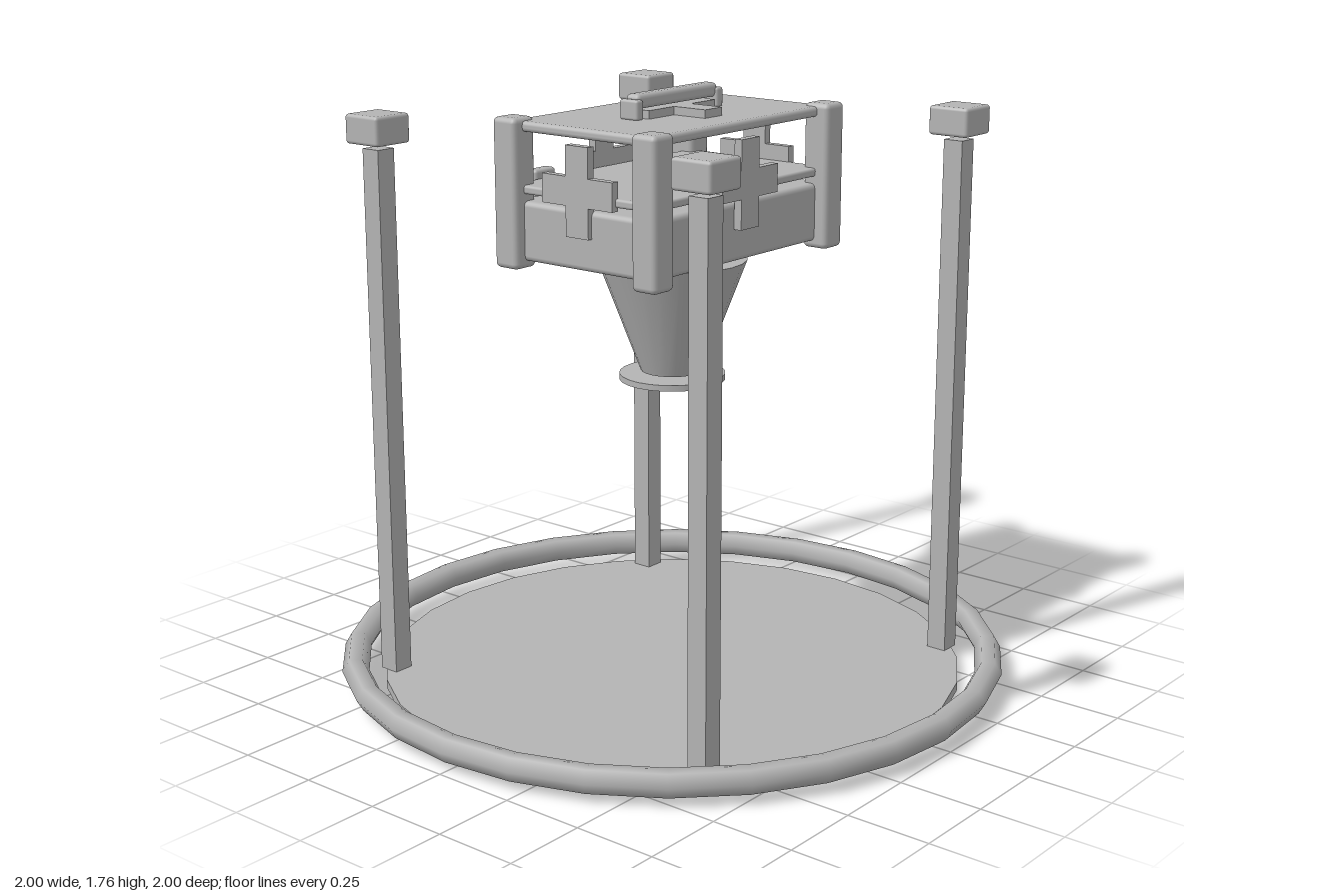
import * as THREE from 'three';
import { RoundedBoxGeometry } from 'three/addons/geometries/RoundedBoxGeometry.js';

export function createModel() {
  const model = new THREE.Group();
  const grey = new THREE.MeshStandardMaterial({ color: 0xb4b4b4 });
  grey.name = 'plain grey';

  const add = (name, geometry, x, y, z, parent = model) => {
    const mesh = new THREE.Mesh(geometry, grey);
    mesh.name = name;
    mesh.position.set(x, y, z);
    parent.add(mesh);
    return mesh;
  };
  const box = (w, h, d) => new THREE.BoxGeometry(w, h, d);
  const soft = (w, h, d, r) => new RoundedBoxGeometry(w, h, d, 2, r);

  // Floor disc and the ring around it
  add('floorDisc', new THREE.CylinderGeometry(0.87, 0.87, 0.027, 28), 0, 0.0135, 0);
  const ring = add('ring', new THREE.TorusGeometry(0.96, 0.04, 6, 28), 0, 0.063, 0);
  ring.rotation.x = Math.PI / 2;

  // Four tall posts with caps, and four case corner guards
  for (const sx of [-1, 1]) {
    for (const sz of [-1, 1]) {
      add('post', box(0.062, 1.578, 0.062), sx * 0.592, 0.816, sz * 0.592);
      add('postCap', soft(0.13, 0.085, 0.13, 0.01), sx * 0.592, 1.662, sz * 0.592);
      add('cornerGuard', soft(0.086, 0.43, 0.086, 0.016), sx * 0.393, 1.49, sz * 0.253);
    }
  }

  // Case: lower body, seam slab and raised lid
  add('caseBody', soft(0.8, 0.172, 0.51, 0.016), 0, 1.383, 0);
  add('seamSlab', soft(0.8, 0.025, 0.51, 0.008), 0, 1.502, 0);
  add('lid', soft(0.806, 0.03, 0.516, 0.012), 0, 1.68, 0);

  // Plus-shaped outline, extruded
  const plus = (reach, half, depth) => {
    const a = reach, b = half;
    const shape = new THREE.Shape([
      [b, a], [-b, a], [-b, b], [-a, b], [-a, -b], [-b, -b],
      [-b, -a], [b, -a], [b, -b], [a, -b], [a, b], [b, b],
    ].map(([x, y]) => new THREE.Vector2(x, y)));
    return new THREE.ExtrudeGeometry(shape, { depth, bevelEnabled: false })
      .translate(0, 0, -depth / 2);
  };

  // Plus plates on the four sides and on the lid
  const sidePlus = plus(0.128, 0.041, 0.025);
  for (const s of [-1, 1]) {
    add('sidePlus', sidePlus, 0, 1.52, s * 0.27);
    add('sidePlus', sidePlus, s * 0.402, 1.52, 0).rotation.y = Math.PI / 2;
  }
  const lidPlus = add('lidPlus', plus(0.15, 0.038, 0.024), 0, 1.707, 0);
  lidPlus.rotation.x = -Math.PI / 2;

  // Back latches
  for (const s of [-1, 1]) {
    add('latch', soft(0.085, 0.12, 0.04, 0.01), s * 0.262, 1.48, -0.272);
  }

  // Carrying handle
  const handle = new THREE.Group();
  handle.name = 'handle';
  model.add(handle);
  add('grip', soft(0.36, 0.042, 0.05, 0.014), 0, 1.744, 0, handle);
  for (const s of [-1, 1]) {
    add('gripEnd', soft(0.03, 0.058, 0.066, 0.008), s * 0.18, 1.722, 0, handle);
  }

  // Tapered nozzle and its foot disc
  add('nozzle', new THREE.CylinderGeometry(0.22, 0.093, 0.335, 24), 0, 1.103, 0);
  add('nozzleFoot', new THREE.CylinderGeometry(0.157, 0.157, 0.018, 24), 0, 0.918, 0);

  return model;
}
